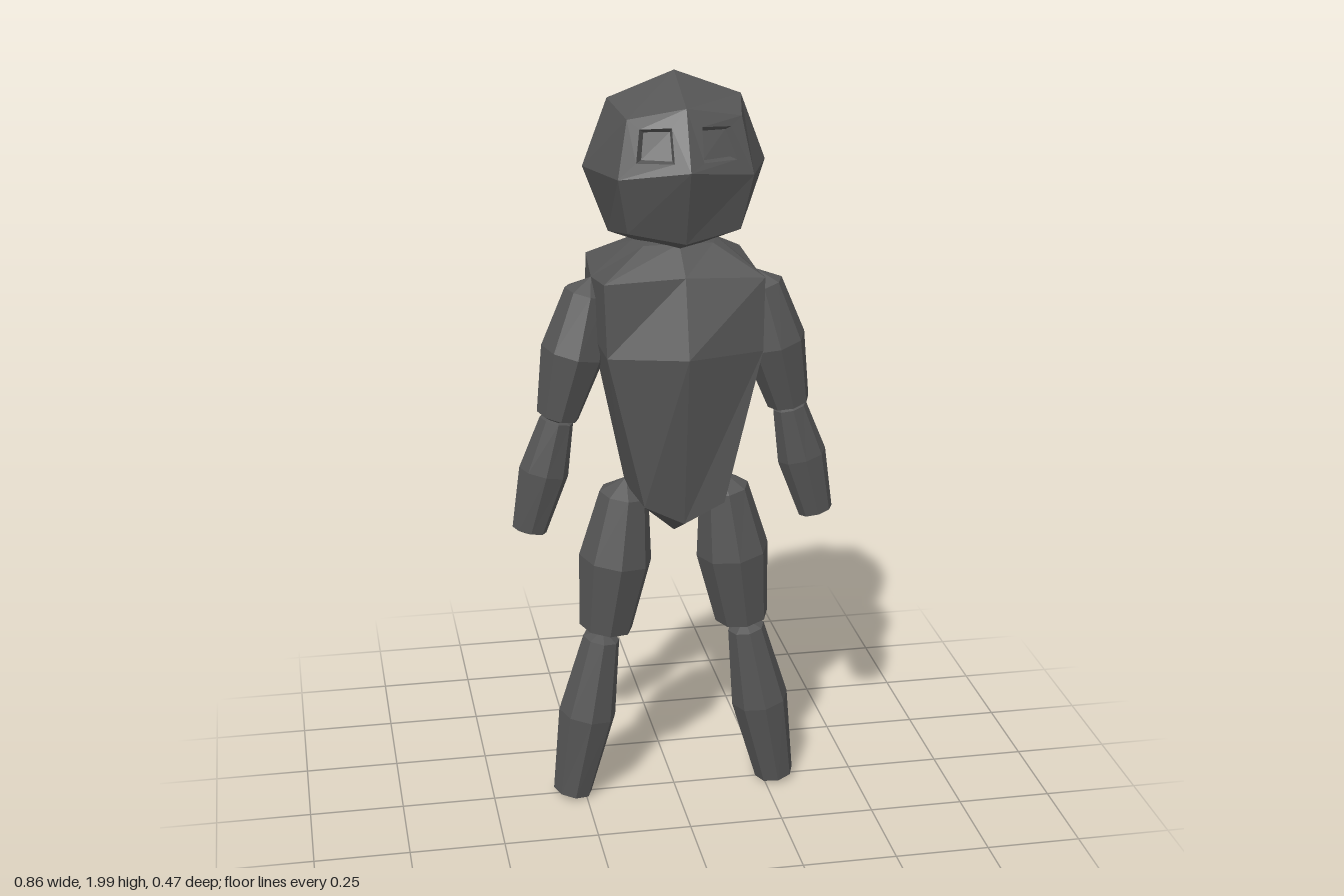
import * as THREE from 'three';

const grey = new THREE.MeshStandardMaterial({ color: 0x555555 });
grey.name = 'dark grey';

// Flat-faceted mesh from a list of triangle corners
function facetMesh(name, points) {
  const geo = new THREE.BufferGeometry().setFromPoints(points);
  geo.computeVertexNormals();
  const mesh = new THREE.Mesh(geo, grey);
  mesh.name = name;
  return mesh;
}

const quad = (a, b, c, d) => [a, b, c, a, c, d];

// Skin over rings listed from top to bottom, closed by a pole at each end
function loft(name, rings, top, bottom) {
  const tris = [];
  const last = rings.length - 1;
  const n = rings[0].length;
  for (let k = 0; k < n; k++) {
    const m = (k + 1) % n;
    tris.push(top, rings[0][m], rings[0][k]);
    for (let i = 0; i < last; i++) {
      tris.push(...quad(rings[i][k], rings[i][m], rings[i + 1][m], rings[i + 1][k]));
    }
    tris.push(bottom, rings[last][k], rings[last][m]);
  }
  return facetMesh(name, tris);
}

// Eight-sided limb along a slanted axis; rows are [t along axis, radius x, radius z]
function limb(name, side, from, to, rows) {
  const a = new THREE.Vector3(side * from[0], from[1], 0);
  const b = new THREE.Vector3(side * to[0], to[1], 0);
  const d = b.clone().sub(a).normalize();
  const across = new THREE.Vector3(-d.y, d.x, 0);
  const rings = rows.map(([t, rx, rz]) => Array.from({ length: 8 }, (_, k) => {
    const angle = k * Math.PI / 4;
    const p = a.clone().lerp(b, t).addScaledVector(across, rx * Math.cos(angle));
    p.z = rz * Math.sin(angle);
    return p;
  }));
  return loft(name, rings, a, b);
}

// Cube of 2 x 2 quads per side, rounded, with two recessed eyes
function makeHead() {
  const box = new THREE.BoxGeometry(2, 2, 2, 2, 2, 2);
  const pos = box.attributes.position;
  const reach = [0, 0.234, 0.17, 0.143];
  const shape = (x, y, z) => {
    const r = reach[Math.abs(x) + Math.abs(y) + Math.abs(z)];
    const lift = z === 1 && x === 0 && y === 0 ? 0.024 : 0;
    return new THREE.Vector3(x * r, 1.768 + y * r + lift, z * r);
  };
  const tris = [];
  for (let i = 0; i < box.index.count; i++) {
    if (i >= 96 && i < 108) continue; // upper front quads hold the eyes
    const v = box.index.getX(i);
    tris.push(shape(Math.round(pos.getX(v)), Math.round(pos.getY(v)), Math.round(pos.getZ(v))));
  }
  for (const s of [1, -1]) {
    const outer = [shape(0, 0, 1), shape(s, 0, 1), shape(s, 1, 1), shape(0, 1, 1)];
    const inside = (u, v) => outer[0].clone().lerp(outer[1], u)
      .lerp(outer[3].clone().lerp(outer[2], u), v);
    const rim = [[0.22, 0.17], [0.77, 0.25], [0.77, 0.8], [0.25, 0.74]].map(([u, v]) => inside(u, v));
    const back = [[0.27, 0.22], [0.72, 0.3], [0.72, 0.75], [0.3, 0.69]].map(([u, v]) => {
      const p = inside(u, v);
      return p.add(new THREE.Vector3(-s * 0.006, -0.004, -0.018));
    });
    const add = (a, b, c, d) => tris.push(...(s > 0 ? quad(a, b, c, d) : quad(d, c, b, a)));
    for (let k = 0; k < 4; k++) {
      const m = (k + 1) % 4;
      add(outer[k], outer[m], rim[m], rim[k]);
      add(rim[k], rim[m], back[m], back[k]);
    }
    add(...back);
  }
  return facetMesh('head', tris);
}

// Tapering chest: side, front corner, front ridge, back corner and back ridge per row
function makeTorso() {
  const rows = [
    { side: [0.11, 1.57], front: [0.09, 1.57, 0.06], ridge: [1.575, 0.075], back: [0.09, 1.57, -0.06], spine: [1.575, -0.075] },
    { side: [0.215, 1.48], front: [0.205, 1.5, 0.155], ridge: [1.51, 0.165], back: [0.205, 1.5, -0.16], spine: [1.51, -0.155] },
    { side: [0.215, 1.33], front: [0.2, 1.31, 0.165], ridge: [1.31, 0.217], back: [0.205, 1.41, -0.175], spine: [1.43, -0.182] },
    { side: [0.13, 0.91], front: [0.105, 0.9, 0.155], ridge: [0.845, 0.15], back: [0.1, 0.86, -0.155], spine: [0.84, -0.165] },
  ];
  const V = (x, y, z) => new THREE.Vector3(x, y, z);
  const rings = rows.map(({ side, front: f, ridge, back: b, spine }) => [
    V(side[0], side[1], 0), V(...f), V(0, ...ridge), V(-f[0], f[1], f[2]),
    V(-side[0], side[1], 0), V(-b[0], b[1], b[2]), V(0, ...spine), V(...b),
  ]);
  return loft('torso', rings, V(0, 1.59, 0), V(0, 0.77, 0));
}

export function createModel() {
  const model = new THREE.Group();
  model.name = 'figure';
  model.add(makeHead(), makeTorso());

  for (const [label, s] of [['left', 1], ['right', -1]]) {
    model.add(
      limb(label + 'UpperArm', s, [0.215, 1.48], [0.312, 1.09],
        [[0.1, 0.06, 0.06], [0.5, 0.085, 0.094], [0.94, 0.056, 0.065]]),
      limb(label + 'Forearm', s, [0.305, 1.12], [0.39, 0.785],
        [[0.06, 0.045, 0.045], [0.48, 0.066, 0.055], [0.96, 0.046, 0.037]]),
      limb(label + 'Thigh', s, [0.128, 0.93], [0.19, 0.478],
        [[0.1, 0.066, 0.075], [0.5, 0.098, 0.108], [0.94, 0.072, 0.08]]),
      limb(label + 'Shin', s, [0.195, 0.495], [0.285, 0.01],
        [[0.05, 0.05, 0.055], [0.5, 0.078, 0.082], [0.98, 0.053, 0.06]]),
    );
  }
  return model;
}
